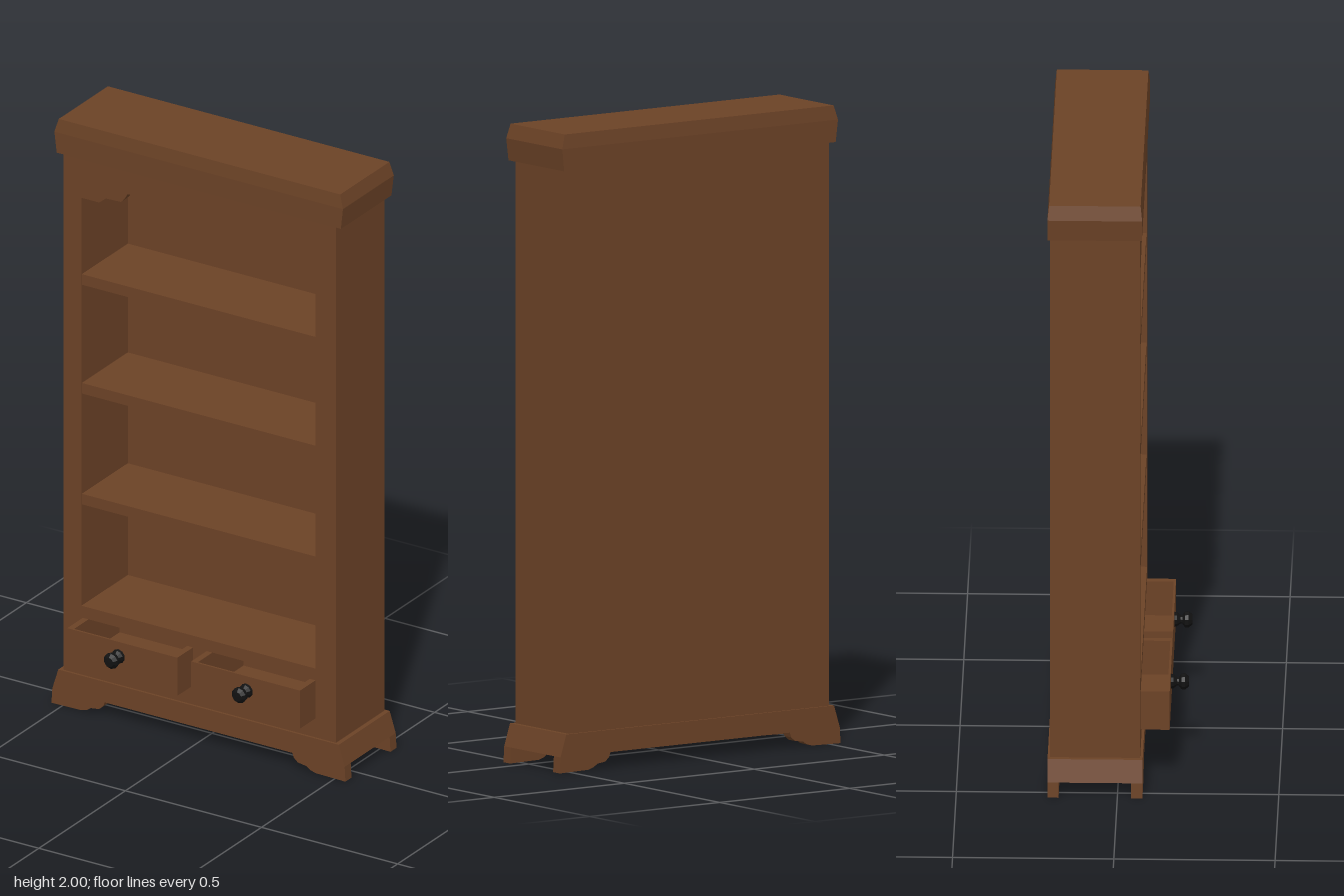
import * as THREE from 'three';

const wood = new THREE.MeshStandardMaterial({ color: 0x6b4226, flatShading: true });
const black = new THREE.MeshStandardMaterial({ color: 0x111111, flatShading: true });

const BACK = -0.21, FRONT = 0.07;
const INNER_L = -0.435, INNER_R = 0.425;

export function createModel() {
  const model = new THREE.Group();
  model.name = 'bookcase';

  function add(parent, name, geometry, material = wood) {
    const mesh = new THREE.Mesh(geometry, material);
    mesh.name = name;
    parent.add(mesh);
    return mesh;
  }
  // Box given by its limits on each axis
  function box(parent, name, x0, x1, y0, y1, z0, z1) {
    const g = new THREE.BoxGeometry(x1 - x0, y1 - y0, z1 - z0);
    g.translate((x0 + x1) / 2, (y0 + y1) / 2, (z0 + z1) / 2);
    return add(parent, name, g);
  }
  const toPoints = (list) => list.map(([x, y]) => new THREE.Vector2(x, y));
  const rect = (x0, x1, y0, y1) => [[x0, y0], [x1, y0], [x1, y1], [x0, y1]];
  function plate(name, outline, holes, z0, z1) {
    const shape = new THREE.Shape(toPoints(outline));
    holes.forEach((h) => shape.holes.push(new THREE.Path(toPoints(h))));
    const g = new THREE.ExtrudeGeometry(shape, { depth: z1 - z0, bevelEnabled: false });
    g.translate(0, 0, z0);
    return add(model, name, g);
  }

  // Carcass
  const frameBack = FRONT - 0.03;
  box(model, 'sidePanel', -0.5, INNER_L, 0.12, 1.89, BACK, frameBack);
  box(model, 'sidePanel', INNER_R, 0.5, 0.12, 1.89, BACK, frameBack);
  box(model, 'backPanel', INNER_L, INNER_R, 0.12, 1.89, BACK, BACK + 0.012);

  // Front frame: a stepped arch opening and two drawer openings
  const drawers = [[-0.43, -0.025], [0.025, 0.425]];
  const drawerY = [0.185, 0.315];
  const opening = [
    [INNER_L, 0.355], [INNER_R, 0.355], [INNER_R, 1.75], [0.36, 1.75],
    [0.335, 1.77], [0.285, 1.772], [0.272, 1.785], [0.26, 1.805],
    [-0.265, 1.805], [-0.277, 1.785], [-0.29, 1.772], [-0.345, 1.77],
    [-0.37, 1.75], [INNER_L, 1.75],
  ];
  plate('frontFrame', rect(-0.5, 0.5, 0.12, 1.89),
    [opening, ...drawers.map(([a, b]) => rect(a, b, ...drawerY))], frameBack, FRONT);

  // Boards inside the case
  for (const top of [0.737, 1.116, 1.488]) {
    box(model, 'shelf', INNER_L, INNER_R, top - 0.036, top, BACK + 0.012, FRONT - 0.002);
  }
  box(model, 'bottomShelf', INNER_L, INNER_R, 0.315, 0.355, BACK + 0.012, frameBack);
  box(model, 'drawerDivider', -0.025, 0.025, 0.12, 0.315, BACK + 0.012, frameBack);

  // Open-topped drawers, pulled out, each with a turned knob
  const knobProfile = toPoints([
    [0, 0], [0.024, 0], [0.022, 0.008], [0.013, 0.019], [0.014, 0.024],
    [0.025, 0.032], [0.026, 0.044], [0.016, 0.055], [0, 0.056],
  ]);
  for (const [x0, x1] of drawers) {
    const drawer = new THREE.Group();
    drawer.name = 'drawer';
    model.add(drawer);
    const [y0, y1] = drawerY;
    const zb = -0.12, zf = 0.16, wall = 0.021;
    box(drawer, 'drawerFront', x0, x1, y0, y1, zf - 0.007, zf);
    box(drawer, 'drawerSide', x0, x0 + wall, y0, y1, zb, zf - 0.007);
    box(drawer, 'drawerSide', x1 - wall, x1, y0, y1, zb, zf - 0.007);
    box(drawer, 'drawerBack', x0 + wall, x1 - wall, y0, y1, zb, zb + 0.01);
    box(drawer, 'drawerBottom', x0 + wall, x1 - wall, y0, y0 + 0.015, zb + 0.01, zf - 0.007);
    const knob = add(drawer, 'knob', new THREE.LatheGeometry(knobProfile, 10), black);
    knob.rotation.x = Math.PI / 2;
    knob.position.set(x0 < 0 ? -0.242 : 0.228, 0.266, zf);
  }

  // Cornice: a box whose rows swell in the middle and draw in at the top
  const cornice = new THREE.BoxGeometry(2, 2, 2, 1, 2, 1);
  const rows = [
    { y: 1.885, x: 0.522, z: 0.146 },
    { y: 1.955, x: 0.53, z: 0.147 },
    { y: 2.0, x: 0.517, z: 0.142 },
  ];
  const p = cornice.attributes.position;
  for (let i = 0; i < p.count; i++) {
    const r = rows[Math.round(p.getY(i)) + 1];
    p.setXYZ(i, p.getX(i) * r.x, r.y, p.getZ(i) * r.z - 0.07);
  }
  cornice.computeVertexNormals();
  add(model, 'cornice', cornice);

  // Plinth: scrolled feet on the front and back boards, flat between them
  const half = [[0.345, 0.05], [0.35, 0.035], [0.365, 0.022], [0.395, 0.018],
    [0.41, 0.008], [0.43, 0.002], [0.54, 0], [0.537, 0.05], [0.515, 0.12]];
  const mirror = (pts) => [...pts, ...pts.map(([x, y]) => [-x, y]).reverse()];
  plate('frontFeet', mirror(half), [], 0.043, 0.078);
  plate('backFeet', mirror(half), [], -0.217, -0.182);
  plate('plinth', mirror([[0.537, 0.05], [0.515, 0.12]]), [], -0.182, 0.043);

  return model;
}
